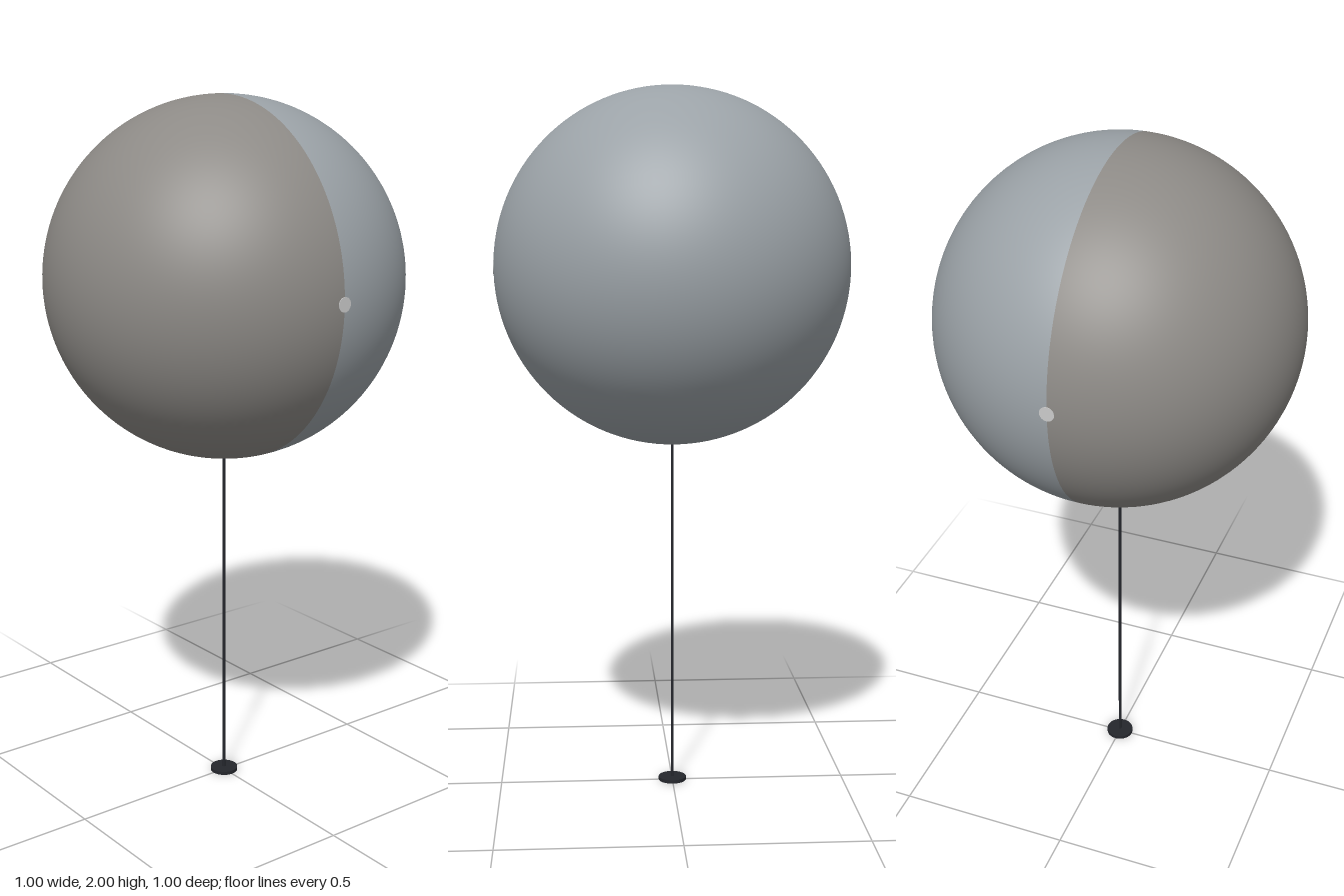
import * as THREE from 'three';

const R = 0.5, CENTRE_Y = 1.5, PANELS = 5;

export function createModel() {
  const group = new THREE.Group();
  const mat = (color) => new THREE.MeshStandardMaterial({ color, side: THREE.DoubleSide });
  const warm = mat(0x8d8a86), cool = mat(0x9ba2a7), dark = mat(0x24262c), light = mat(0xcccccc);

  const add = (name, geometry, material, y) => {
    const mesh = new THREE.Mesh(geometry, material);
    mesh.name = name;
    mesh.position.y = y;
    group.add(mesh);
  };

  // Slice of the ball between two angles about the sideways (x) axis
  const slice = (start, length, segments) =>
    new THREE.SphereGeometry(R, segments, 64, start, length).rotateZ(-Math.PI / 2);

  // Front half: five equal wedge panels, top to bottom
  const step = Math.PI / PANELS;
  for (let i = 0; i < PANELS; i++) {
    add(`frontPanel${i + 1}`, slice(i * step, step, 12), warm, CENTRE_Y);
  }

  // Back half: one solid shell
  add('backShell', slice(Math.PI, Math.PI, 48), cool, CENTRE_Y);

  // Hinge axle, its ends showing on both sides
  add('hingeAxle', new THREE.CylinderGeometry(0.02, 0.02, 2 * R + 0.002, 24).rotateZ(Math.PI / 2), light, CENTRE_Y);

  // Thin stand and its small round foot
  add('pole', new THREE.CylinderGeometry(0.004, 0.004, 1, 16), dark, 0.505);
  add('foot', new THREE.CylinderGeometry(0.04, 0.04, 0.01, 32), dark, 0.005);

  return group;
}
